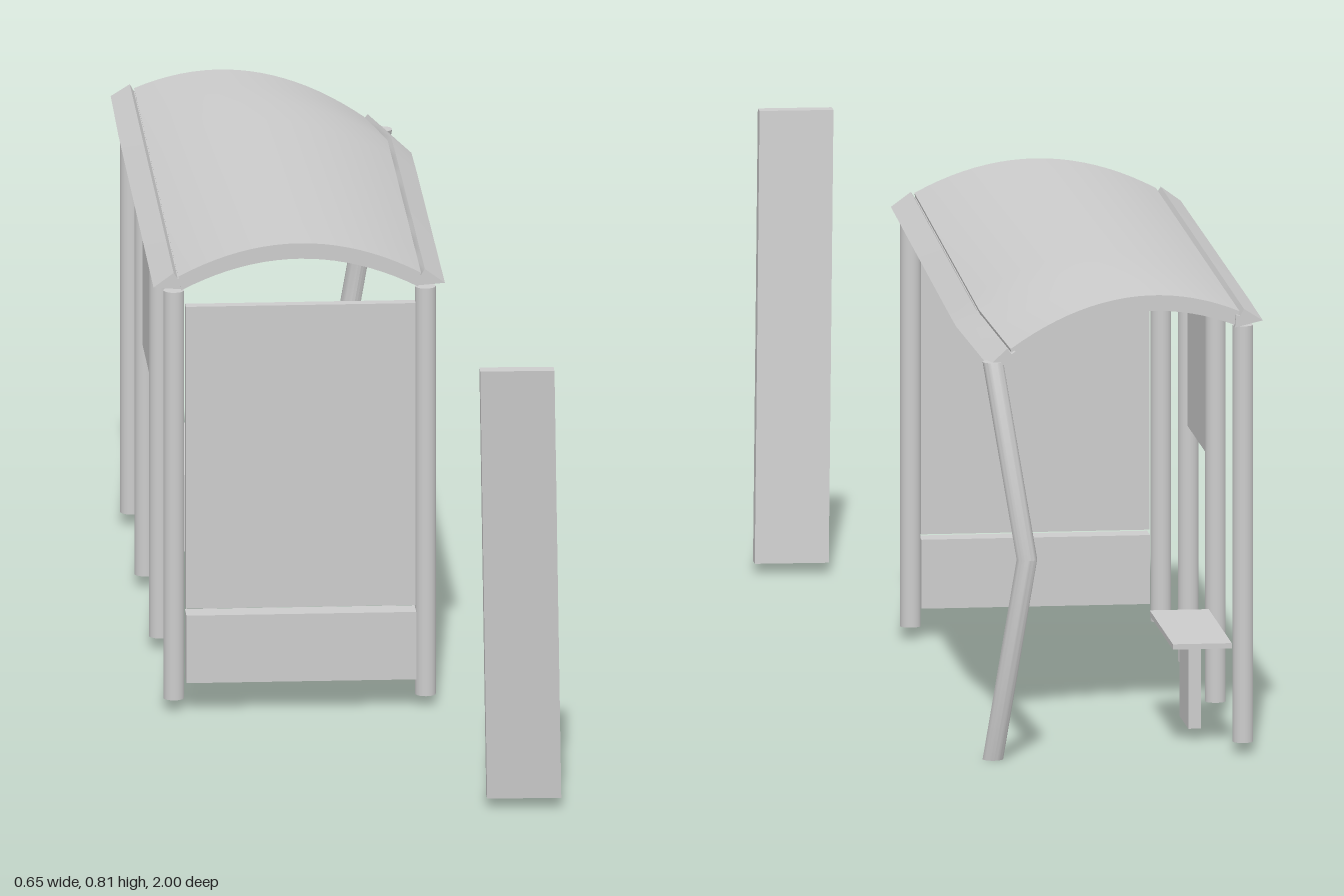
import * as THREE from 'three';
import { toCreasedNormals } from 'three/addons/utils/BufferGeometryUtils.js';

const material = new THREE.MeshStandardMaterial({ color: 0xcccccc, side: THREE.DoubleSide });
const LEFT = -0.29, RIGHT = 0.135, POST_R = 0.0175; // post lines along the shelter

export function createModel() {
  const model = new THREE.Group();
  model.name = 'damagedBusShelter';

  const add = (name, geometry, x = 0, y = 0, z = 0) => {
    const mesh = new THREE.Mesh(geometry, material);
    mesh.name = name;
    mesh.position.set(x, y, z);
    model.add(mesh);
    return mesh;
  };
  // Box given by its minimum and maximum corners
  const box = (name, x0, x1, y0, y1, z0, z1) =>
    add(name, new THREE.BoxGeometry(x1 - x0, y1 - y0, z1 - z0), (x0 + x1) / 2, (y0 + y1) / 2, (z0 + z1) / 2);
  // Move every vertex by a rule
  const deform = (geometry, rule) => {
    const p = geometry.attributes.position, v = new THREE.Vector3();
    for (let i = 0; i < p.count; i++) {
      rule(v.fromBufferAttribute(p, i));
      p.setXYZ(i, v.x, v.y, v.z);
    }
    return toCreasedNormals(geometry, 0.6);
  };

  // Upright posts
  for (const [x, z] of [[LEFT, 0.28], [LEFT, -0.11], [LEFT, -0.5], [LEFT, -0.89], [RIGHT, 0.28]])
    add('post', new THREE.CylinderGeometry(POST_R, POST_R, 0.713, 20), x, 0.3765, z);

  // Rear corner post, buckled at mid height
  const bent = new THREE.CylinderGeometry(POST_R, POST_R, 0.68, 20, 2);
  add('bentPost', deform(bent, v => {
    if (Math.abs(v.y) < 0.01) { v.x -= 0.048; v.z -= 0.082; v.y += 0.015; }
  }), RIGHT, 0.34, -0.898);

  // Roof: sags and twists down toward the bent post
  const sag = v => {
    const t = THREE.MathUtils.clamp((v.x + 0.29) / 0.43, -0.1, 1.1);
    const a = THREE.MathUtils.clamp((0.285 - v.z) / 0.95, 0, 1);
    const b = THREE.MathUtils.clamp((-0.665 - v.z) / 0.24, 0, 1);
    v.x += t * (0.003 * a - 0.026 * b);
    v.y -= t * (0.034 * a + 0.026 * b);
  };
  const roofPart = (name, points, z0, z1) => {
    const shape = new THREE.Shape(points.map(p => new THREE.Vector2(...p)));
    const g = new THREE.ExtrudeGeometry(shape, { depth: z1 - z0, steps: 10, bevelEnabled: false });
    g.translate(0, 0, z0);
    add(name, deform(g, sag));
  };
  const arch = (base, rise, half) => Array.from({ length: 21 }, (_, i) => {
    const s = i / 10 - 1;
    return [-0.078 + half * s, base + rise * (1 - s * s)];
  });
  roofPart('roof', [...arch(0.759, 0.055, 0.205), ...arch(0.735, 0.052, 0.2).reverse()], -0.9, 0.29);

  // Gutters along both roof edges
  for (const side of [-1, 1]) {
    const profile = [[0.246, 0.738], [0.212, 0.763], [0.205, 0.752], [0.198, 0.755], [0.196, 0.734]];
    roofPart('gutter', profile.map(([x, y]) => [-0.078 + side * x, y]), -0.908, 0.28);
  }

  // End wall: upper panel and thicker kick panel
  box('endPanel', -0.27, 0.118, 0.178, 0.706, 0.27, 0.29);
  box('kickPanel', -0.27, 0.118, 0.052, 0.17, 0.263, 0.305);

  // Notice panel between the middle posts
  box('noticePanel', LEFT - 0.006, LEFT + 0.006, 0.43, 0.68, -0.465, -0.15);

  // Bench
  box('benchSeat', -0.275, -0.175, 0.174, 0.183, -0.86, -0.53);
  box('benchLeg', -0.235, -0.213, 0.02, 0.176, -0.76, -0.635);

  // Leaning sign board in front of the shelter
  const board = new THREE.BoxGeometry(0.125, 0.764, 0.026);
  add('signBoard', deform(board, v => {
    v.z += 0.079 * v.y + 0.03 * v.x;
    v.x -= 0.02 * v.y;
  }), 0.253, 0.4, 0.957);

  return model;
}
